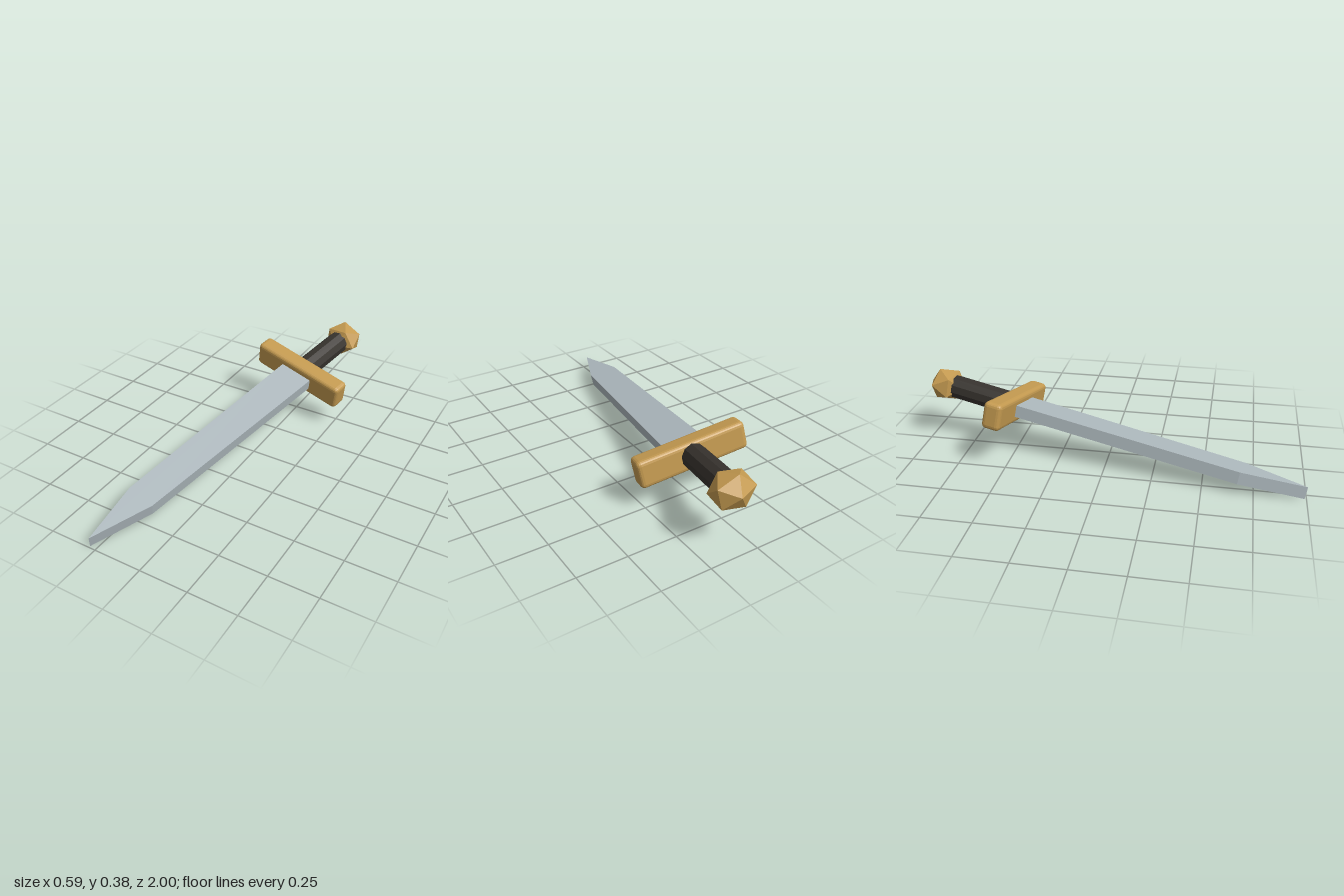
import * as THREE from 'three';
import { RoundedBoxGeometry } from 'three/addons/geometries/RoundedBoxGeometry.js';

const material = (color) => new THREE.MeshStandardMaterial({ color, flatShading: true });

export function createModel() {
  const steel = material(0xafbabf);
  const groove = material(0x3b4550);
  const gold = material(0xc49a50);
  const leather = material(0x37332e);

  // Local frame: x across the blade, y through its thickness, z towards the tip,
  // with the middle of the guard at the origin.
  const sword = new THREE.Group();
  sword.name = 'sword';
  const add = (name, geometry, mat) => {
    const mesh = new THREE.Mesh(geometry, mat);
    mesh.name = name;
    sword.add(mesh);
    return mesh;
  };

  // Blade: flat slab, tapering slightly to the shoulders and then to a point
  const halfThickness = 0.031;
  const outline = new THREE.Shape([
    [-0.097, 0], [0.097, 0], [0.077, 1.23], [0, 1.548], [-0.077, 1.23],
  ].map(([x, y]) => new THREE.Vector2(x, y)));
  const bladeGeometry = new THREE.ExtrudeGeometry(outline, { depth: halfThickness * 2, bevelEnabled: false });
  bladeGeometry.rotateX(Math.PI / 2).translate(0, halfThickness, 0);
  add('blade', bladeGeometry, steel);

  // Dark round-ended strip along the underside of the blade
  const strip = new THREE.CapsuleGeometry(0.014, 1.08, 3, 8);
  strip.rotateX(Math.PI / 2).scale(1, 0.4, 1).translate(0, -halfThickness, 0.65);
  add('fuller', strip, groove);

  // Cross guard with softened edges
  add('guard', new RoundedBoxGeometry(0.553, 0.14, 0.098, 2, 0.022), gold);

  // Ten-sided grip
  const grip = new THREE.CylinderGeometry(0.063, 0.063, 0.34, 10);
  grip.rotateX(Math.PI / 2).translate(0, 0, -0.2);
  add('grip', grip, leather);

  // Faceted pommel, turned so that one corner points straight back
  const pommel = new THREE.IcosahedronGeometry(1, 0);
  pommel.rotateX(Math.atan(2 / (1 + Math.sqrt(5)))).rotateZ(Math.PI / 10);
  pommel.scale(0.109, 0.094, 0.093).translate(0, 0, -0.41);
  add('pommel', pommel, gold);

  // Lay the sword at a slant, tip on the ground
  const forward = new THREE.Vector3(-0.19, -0.131, 0.973).normalize();
  const across = new THREE.Vector3(0.968, -0.187, 0.163);
  const up = forward.clone().cross(across).normalize();
  across.crossVectors(up, forward);
  sword.quaternion.setFromRotationMatrix(new THREE.Matrix4().makeBasis(across, up, forward));
  sword.position.set(0.0135, 0.233, -0.51);

  const model = new THREE.Group();
  model.name = 'slantedSword';
  model.add(sword);
  return model;
}
